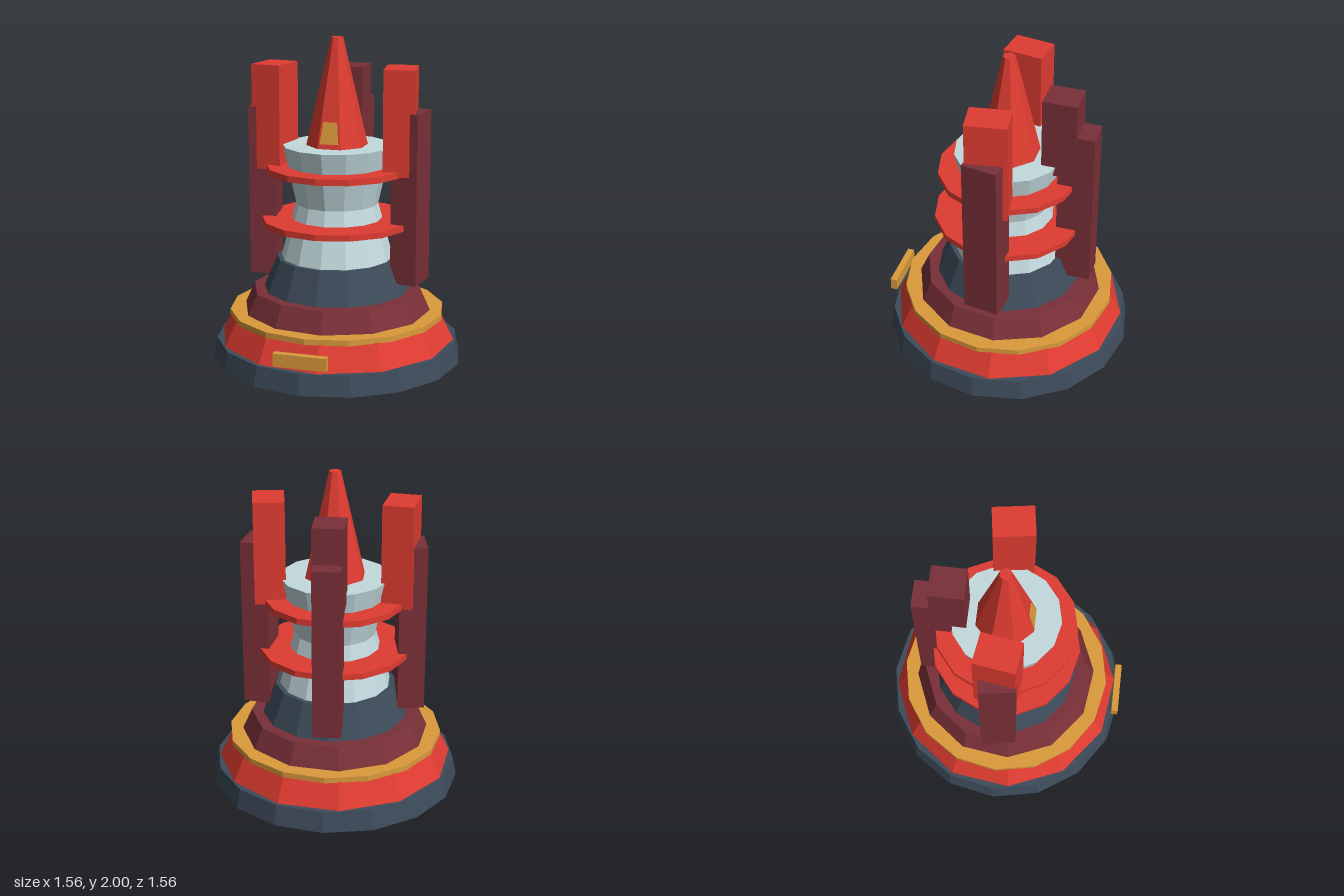
import * as THREE from 'three';

const mat = (color) => new THREE.MeshStandardMaterial({ color, flatShading: true });

export function createModel() {
  const model = new THREE.Group();
  const red = mat(0xe03c31), maroon = mat(0x7a3038), slate = mat(0x3d4b5a);
  const pale = mat(0xc3dade), gold = mat(0xdb9b3b);

  function add(name, geometry, material, x = 0, y = 0, z = 0, turn = 0) {
    const mesh = new THREE.Mesh(geometry, material);
    mesh.name = name;
    mesh.position.set(x, y, z);
    mesh.rotation.y = turn;
    model.add(mesh);
    return mesh;
  }
  // Round tier between two heights
  const tier = (name, material, y0, y1, r0, r1, sides, turn = 0) =>
    add(name, new THREE.CylinderGeometry(r1, r0, y1 - y0, sides), material, 0, (y0 + y1) / 2, 0, turn);
  // Upright block between two heights
  const block = (name, material, w, d, y0, y1, x, z, turn = 0) =>
    add(name, new THREE.BoxGeometry(w, y1 - y0, d), material, x, (y0 + y1) / 2, z, turn);

  // Stepped base
  tier('baseFoot', slate, 0, 0.125, 0.78, 0.755, 16);
  tier('baseSkirt', red, 0.12, 0.28, 0.737, 0.66, 12, 0.13);
  tier('baseTrim', gold, 0.275, 0.31, 0.67, 0.67, 16);
  tier('baseStep', maroon, 0.305, 0.44, 0.588, 0.527, 12, 0.13);
  tier('baseCollar', slate, 0.435, 0.64, 0.458, 0.375, 14);
  block('badge', gold, 0.326, 0.042, 0.16, 0.24, 0, 0.747);

  // Waisted tower body
  const profile = [[0, 0.63], [0.35, 0.63], [0.255, 0.98], [0.335, 1.342], [0, 1.342]];
  add('towerBody', new THREE.LatheGeometry(profile.map(([r, y]) => new THREE.Vector2(r, y)), 14), pale);

  // Ring decks
  tier('lowerRing', red, 0.85, 0.887, 0.466, 0.466, 14);
  tier('upperRing', red, 1.177, 1.215, 0.437, 0.437, 14);

  // Spire and its window
  tier('spire', red, 1.34, 2.0, 0.19, 0.037, 8, Math.PI / 8);
  const pane = new THREE.Shape([[-0.058, 0], [0.058, 0], [0.042, 0.134], [-0.042, 0.134]]
    .map(([x, y]) => new THREE.Vector2(x, y)));
  const spireWindow = add('spireWindow',
    new THREE.ExtrudeGeometry(pane, { depth: 0.02, bevelEnabled: false }), gold, 0, 1.368, 0.156);
  spireWindow.rotation.x = -0.21;

  // Side pylons, mirrored
  for (const s of [1, -1]) {
    const side = s > 0 ? 'left' : 'right';
    block(side + 'UpperPylon', red, 0.19, 0.25, 1.185, 1.83, s * 0.4, 0, s * 0.15);
    block(side + 'LowerPylon', maroon, 0.167, 0.22, 0.515, 1.57, s * 0.465, 0, -s * 0.15);
  }

  // Rear pylon
  block('rearUpperPylon', maroon, 0.19, 0.21, 1.28, 1.79, 0, -0.332);
  block('rearLowerPylon', maroon, 0.17, 0.22, 0.515, 1.57, 0, -0.436);

  return model;
}
